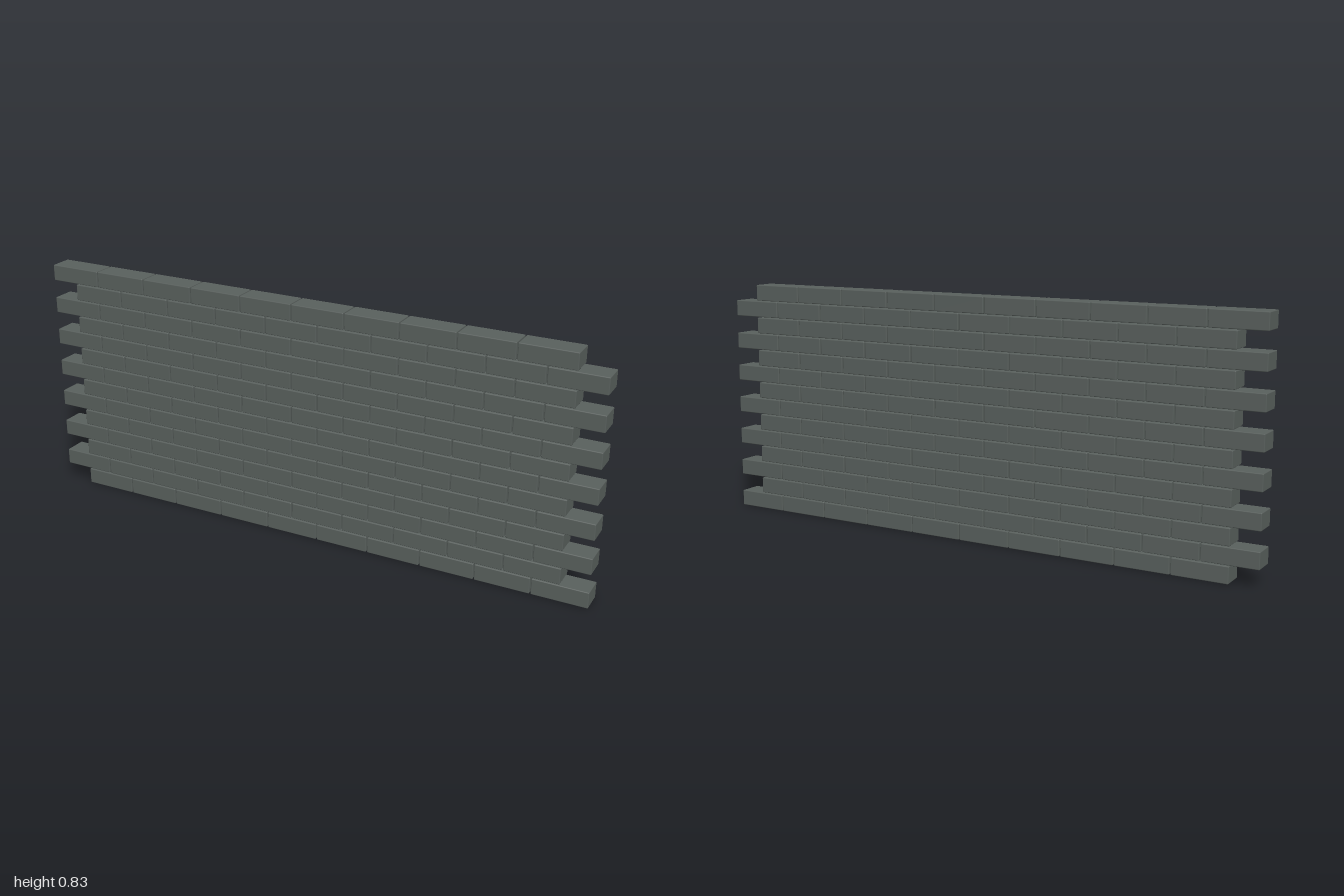
import * as THREE from 'three';
import { RoundedBoxGeometry } from 'three/addons/geometries/RoundedBoxGeometry.js';

const ROWS = 14, COLUMNS = 10;
const GAP_X = 0.004, GAP_Y = 0.003;
const PITCH_X = (2 + GAP_X) / (COLUMNS + 0.5); // half a brick of overhang per course
const PITCH_Y = (0.828 + GAP_Y) / ROWS;
const WIDTH = PITCH_X - GAP_X, HEIGHT = PITCH_Y - GAP_Y, DEPTH = 0.08;

export function createModel() {
  const wall = new THREE.Group();
  wall.name = 'brickWall';

  const stone = new THREE.MeshStandardMaterial({ color: 0x59605d });
  stone.name = 'dark grey stone';

  // One brick with softly worn edges, shared by the whole wall
  const brick = new RoundedBoxGeometry(WIDTH, HEIGHT, DEPTH, 1, 0.003);

  // Running bond: every other course shifts by half a brick
  for (let row = 0; row < ROWS; row++) {
    const course = new THREE.Group();
    course.name = `course${row + 1}`;
    const shift = row % 2 === 0 ? PITCH_X / 2 : 0;
    course.position.set(-1 + shift + WIDTH / 2, row * PITCH_Y + HEIGHT / 2, 0);
    for (let column = 0; column < COLUMNS; column++) {
      const mesh = new THREE.Mesh(brick, stone);
      mesh.name = `brick${column + 1}`;
      mesh.position.x = column * PITCH_X;
      course.add(mesh);
    }
    wall.add(course);
  }
  return wall;
}
